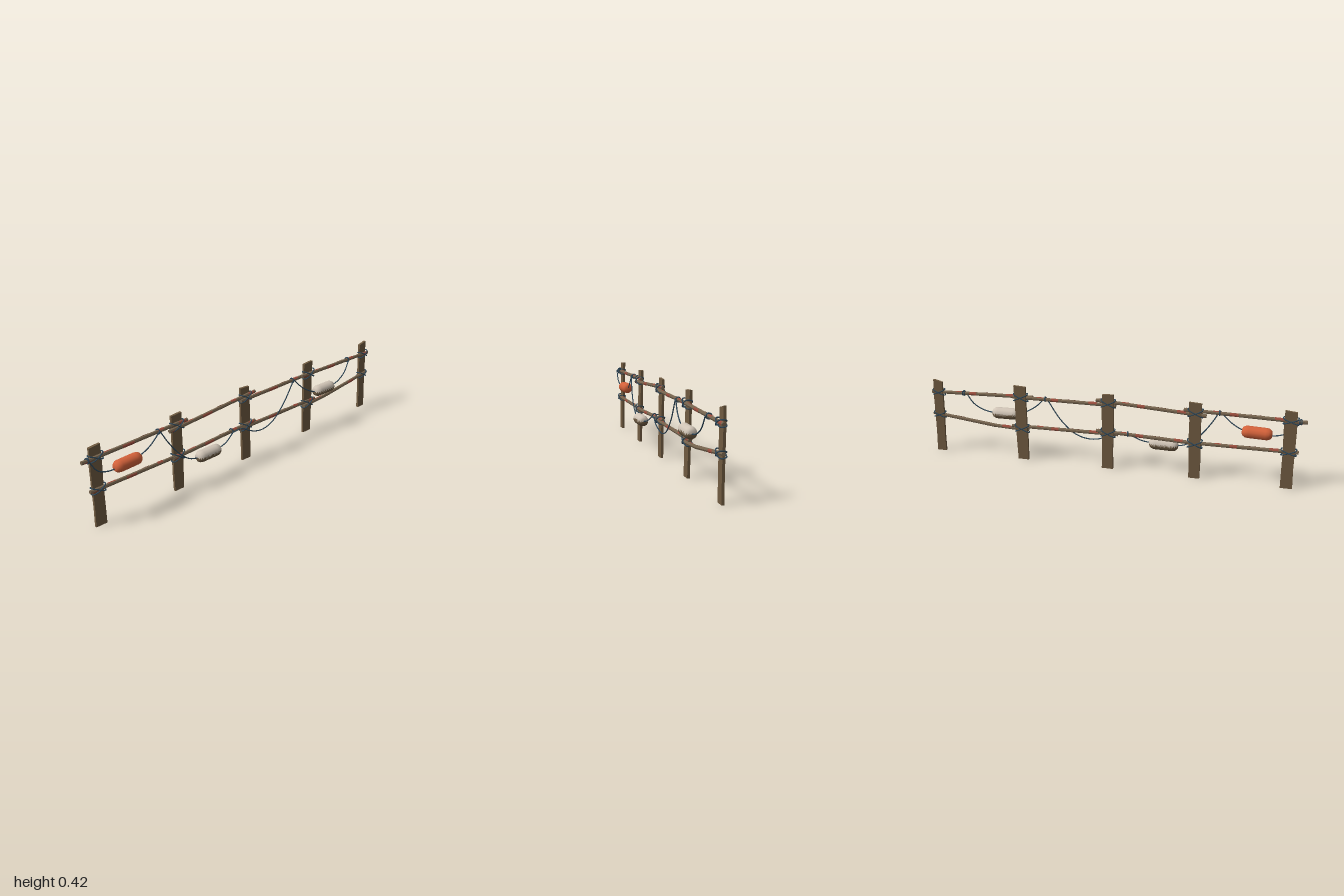
import * as THREE from 'three';

const mat = (name, color, side = THREE.FrontSide, flatShading = false) => {
  const m = new THREE.MeshStandardMaterial({ color, side, flatShading });
  m.name = name;
  return m;
};
const V = (x, y, z) => new THREE.Vector3(x, y, z);

export function createModel() {
  const root = new THREE.Group();
  root.name = 'driftwoodFence';
  const wood = mat('post wood', 0x6f5a40, THREE.FrontSide, true);
  const pole = mat('rail wood', 0x75634d, THREE.FrontSide, true);
  const red = mat('worn red paint', 0x984c3c, THREE.DoubleSide, true);
  const rope = mat('blue rope', 0x30495b);
  const orange = mat('orange float', 0xd4623a);
  const cream = mat('cream float', 0xd0c4b6);
  const stain = mat('stained float', 0x715d44);

  const add = (name, geometry, material, parent = root) => {
    const m = new THREE.Mesh(geometry, material);
    m.name = name;
    parent.add(m);
    return m;
  };
  const cord = (name, points, closed, segments, parent) =>
    add(name, new THREE.TubeGeometry(
      new THREE.CatmullRomCurve3(points, closed, 'centripetal'), segments, 0.0032, 5, closed), rope, parent);

  // Plank posts: [bottom x, top x, width, top height, slant of top]
  const posts = [
    [-0.923, -0.92, 0.062, 0.413, 0.003],
    [-0.455, -0.45, 0.062, 0.413, 0.002],
    [0.008, 0.003, 0.062, 0.415, -0.002],
    [0.481, 0.486, 0.064, 0.417, 0.002],
    [0.966, 0.957, 0.052, 0.408, 0.006],
  ];
  for (const [x0, x1, w, h, slant] of posts) {
    const g = new THREE.BoxGeometry(w, 1, 0.013, 1, 4, 1);
    const p = g.attributes.position;
    for (let i = 0; i < p.count; i++) {
      const t = p.getY(i) + 0.5, s = Math.sign(p.getX(i));
      const chip = 0.0015 * Math.sin(t * 9 + x0 * 7 + s);
      p.setXYZ(i,
        p.getX(i) * (0.94 + 0.06 * t) + x0 + (x1 - x0) * t + chip,
        t * (h + slant * s),
        p.getZ(i) - 0.022 - 0.008 * t);
    }
    g.computeVertexNormals();
    add('post', g, wood);
  }

  // Round rails, each with worn paint strips: [start, end, turn] along and around the rail
  const R = 0.0098;
  const rail = (name, a, b, paint) => {
    const dir = b.clone().sub(a), len = dir.length();
    const g = new THREE.Group();
    g.name = name;
    g.position.copy(a);
    g.quaternion.setFromUnitVectors(V(0, 1, 0), dir.normalize());
    root.add(g);
    add('pole', new THREE.CylinderGeometry(R * 0.94, R, len, 7).translate(0, len / 2, 0), pole, g);
    paint.forEach(([s, e, turn]) => {
      const strip = new THREE.CylinderGeometry(R + 0.0004, R + 0.0006, (e - s) * len, 3, 1, true, turn, 1.8);
      add('paintStrip', strip.translate(0, (s + e) / 2 * len, 0), red, g);
    });
  };
  const spans = [[0.02, 0.08, 0], [0.18, 0.26, 3.3], [0.36, 0.47, 5.4], [0.55, 0.62, 2.6],
    [0.7, 0.76, 4.0], [0.91, 0.98, 5]];
  rail('topRail', V(-1, 0.358, -0.016), V(-0.39, 0.368, -0.018), spans);
  rail('topRail', V(-0.505, 0.342, -0.014), V(0.07, 0.376, -0.019), spans);
  rail('topRail', V(-0.035, 0.353, -0.014), V(0.53, 0.352, -0.022), spans);
  rail('topRail', V(0.42, 0.356, -0.013), V(1, 0.34, -0.02), spans);
  rail('lowerRail', V(-0.97, 0.196, -0.016), V(-0.42, 0.192, -0.018), spans);
  rail('lowerRail', V(-0.49, 0.188, -0.014), V(0.07, 0.207, -0.019), spans);
  rail('lowerRail', V(-0.045, 0.194, -0.014), V(0.54, 0.187, -0.02), spans);
  rail('lowerRail', V(0.45, 0.168, -0.014), V(0.65, 0.177, -0.018), [[0.5, 0.75, 3.3]]);
  rail('lowerRail', V(0.645, 0.177, -0.018), V(1, 0.217, -0.02), [[0.5, 0.65, 5.4]]);

  // Crossed rope lashings where rails meet posts
  const lashing = (x, y, w, tall) => {
    const g = new THREE.Group();
    g.name = 'lashing';
    g.position.set(x, y, 0);
    root.add(g);
    const h = w / 2 + 0.004;
    for (const s of [-1, 1]) {
      cord('diagonalWrap', [
        V(-h, -tall * s, -0.012), V(-h * 0.4, -tall * 0.5 * s, -0.002), V(h * 0.4, tall * 0.5 * s, -0.002),
        V(h, tall * s, -0.012), V(h, tall * 0.8 * s, -0.034),
        V(0, 0, -0.04), V(-h, -tall * 0.8 * s, -0.034)], true, 30, g);
    }
  };
  const topY = [0.36, 0.356, 0.363, 0.353, 0.342];
  const lowY = [0.195, 0.19, 0.2, 0.178, 0.213];
  posts.forEach(([x0, x1, w], i) => {
    const tall = i > 0 && i < 4 ? 0.021 : 0.016;
    lashing(x0 + (x1 - x0) * 0.86, topY[i], w, tall);
    lashing(x0 + (x1 - x0) * 0.48, lowY[i], w, tall);
  });

  // Hanging line, swag by swag
  const swags = [
    [[-0.97, 0.36, 0], [-0.93, 0.3, 0], [-0.88, 0.275, -0.004], [-0.83, 0.268, -0.008], [-0.76, 0.274, -0.008],
      [-0.69, 0.284, -0.008], [-0.63, 0.315, -0.004], [-0.57, 0.372, -0.002]],
    [[-0.57, 0.372, -0.002], [-0.53, 0.3, 0.006], [-0.47, 0.22, 0.012], [-0.41, 0.17, 0.013], [-0.35, 0.153, 0.013],
      [-0.22, 0.156, 0.013], [-0.16, 0.167, 0.008], [-0.1, 0.2, -0.003]],
    [[-0.1, 0.2, -0.003], [-0.04, 0.202, 0], [0, 0.18, 0.004], [0.06, 0.153, 0], [0.12, 0.147, 0],
      [0.19, 0.168, -0.002], [0.27, 0.24, -0.004], [0.35, 0.36, -0.004]],
    [[0.35, 0.36, -0.004], [0.41, 0.3, 0.004], [0.47, 0.262, 0.008], [0.52, 0.243, 0.008], [0.65, 0.24, 0.008],
      [0.71, 0.25, 0.006], [0.77, 0.285, 0.002], [0.81, 0.348, -0.003]],
  ];
  swags.forEach((s) => cord('hangingLine', s.map((p) => V(...p)), false, 36));

  // Knots tying the line to the rails: [x, y, turns]
  [[-0.97, 0.358, 2], [-0.57, 0.365, 1], [-0.1, 0.203, 1], [0.35, 0.353, 1], [0.81, 0.346, 2]]
    .forEach(([x, y, turns]) => {
      for (let i = 0; i < turns; i++) {
        const ring = add('knot', new THREE.TorusGeometry(0.0125, 0.0032, 5, 12), rope);
        ring.rotation.y = Math.PI / 2 + 0.2 - i * 0.4;
        ring.position.set(x + i * 0.006, y, -0.017);
      }
    });

  // Floats: capsule profile laid along x
  const r = 0.031, half = 0.075;
  const cap = [[0, -half], [0.014, -half], [0.023, -half + 0.006], [0.029, -half + 0.016]];
  const barrel = Array.from({ length: 17 }, (_, i) => [r, (i / 8 - 1) * (half - 0.028)]);
  const profile = [...cap, ...barrel, ...cap.map(([a, b]) => [a, -b]).reverse()];
  const body = () => new THREE.LatheGeometry(profile.map(([a, b]) => new THREE.Vector2(a, b)), 12, Math.PI / 12)
    .rotateZ(-Math.PI / 2);

  // Sort triangles by height into a clean top and a stained underside with a ragged edge
  const stainedBody = () => {
    const g = body(), p = g.attributes.position, index = g.index.array;
    const top = [], under = [];
    for (let i = 0; i < index.length; i += 3) {
      const tri = [...index.slice(i, i + 3)];
      const y = tri.reduce((sum, k) => sum + p.getY(k), 0) / 3;
      (y > 0 ? top : under).push(...tri);
    }
    g.setIndex([...top, ...under]);
    g.addGroup(0, top.length, 0);
    g.addGroup(top.length, under.length, 1);
    return g;
  };
  const float = (name, geometry, material, x, y, z, tilt) => {
    const m = add(name, geometry, material);
    m.position.set(x, y, z);
    m.rotation.z = tilt;
  };
  float('orangeFloat', body(), orange, -0.76, 0.276, -0.008, 0.03);
  float('creamFloat', stainedBody(), [cream, stain], -0.285, 0.154, 0.013, 0.01);
  float('creamFloat', stainedBody(), [cream, stain], 0.585, 0.242, 0.008, -0.01);

  return root;
}
